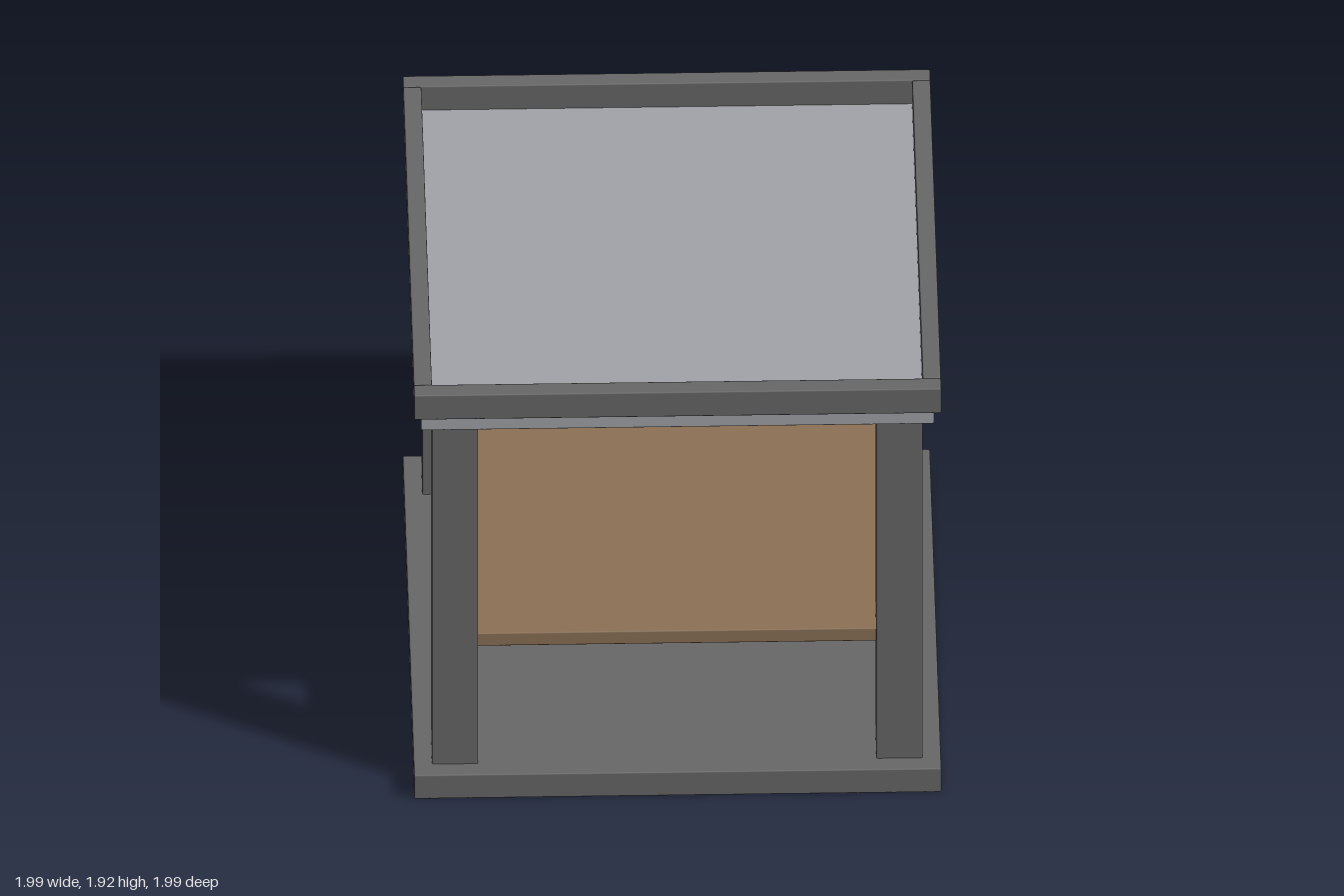
import * as THREE from 'three';
import { RoundedBoxGeometry } from 'three/addons/geometries/RoundedBoxGeometry.js';

export function createModel() {
  const model = new THREE.Group();
  model.name = 'sideTable';

  const material = (name, color) => {
    const m = new THREE.MeshStandardMaterial({ color });
    m.name = name;
    return m;
  };
  const frameGrey = material('frameGrey', 0x666666);
  const panelGrey = material('panelGrey', 0xa0a1a6);
  const wood = material('wood', 0x896f54);

  // Slightly bevelled box given by its lower and upper corners
  const box = (name, mat, min, max) => {
    const size = max.map((v, i) => v - min[i]);
    const mesh = new THREE.Mesh(new RoundedBoxGeometry(...size, 1, 0.006), mat);
    mesh.position.set(...max.map((v, i) => (v + min[i]) / 2));
    mesh.name = name;
    model.add(mesh);
  };

  const outer = 0.997; // half width of base and rim
  const inner = 0.928; // inside of the rim, outside of the legs
  const legInner = 0.753;

  // Base, shelf and top panel
  box('base', frameGrey, [-outer, 0, -outer], [outer, 0.113, outer]);
  box('shelf', wood, [-0.885, 0.638, -0.885], [0.885, 0.7, 0.885]);
  box('topPanel', panelGrey, [-0.97, 1.732, -0.97], [0.97, 1.807, 0.97]);

  // Corner legs
  for (const [sx, side] of [[-1, 'Right'], [1, 'Left']]) {
    for (const [sz, end] of [[-1, 'back'], [1, 'front']]) {
      const xs = [sx * inner, sx * legInner].sort((a, b) => a - b);
      const zs = [sz * inner, sz * legInner].sort((a, b) => a - b);
      box(`${end}${side}Leg`, frameGrey, [xs[0], 0.105, zs[0]], [xs[1], 1.74, zs[1]]);
    }
  }

  // Raised rim around the top
  const low = 1.803, high = 1.92;
  box('frontRim', frameGrey, [-outer, low, inner], [outer, high, outer]);
  box('backRim', frameGrey, [-outer, low, -outer], [outer, high, -inner]);
  box('rightRim', frameGrey, [-outer, low, -inner], [-inner, high, inner]);
  box('leftRim', frameGrey, [inner, low, -inner], [outer, high, inner]);

  return model;
}
